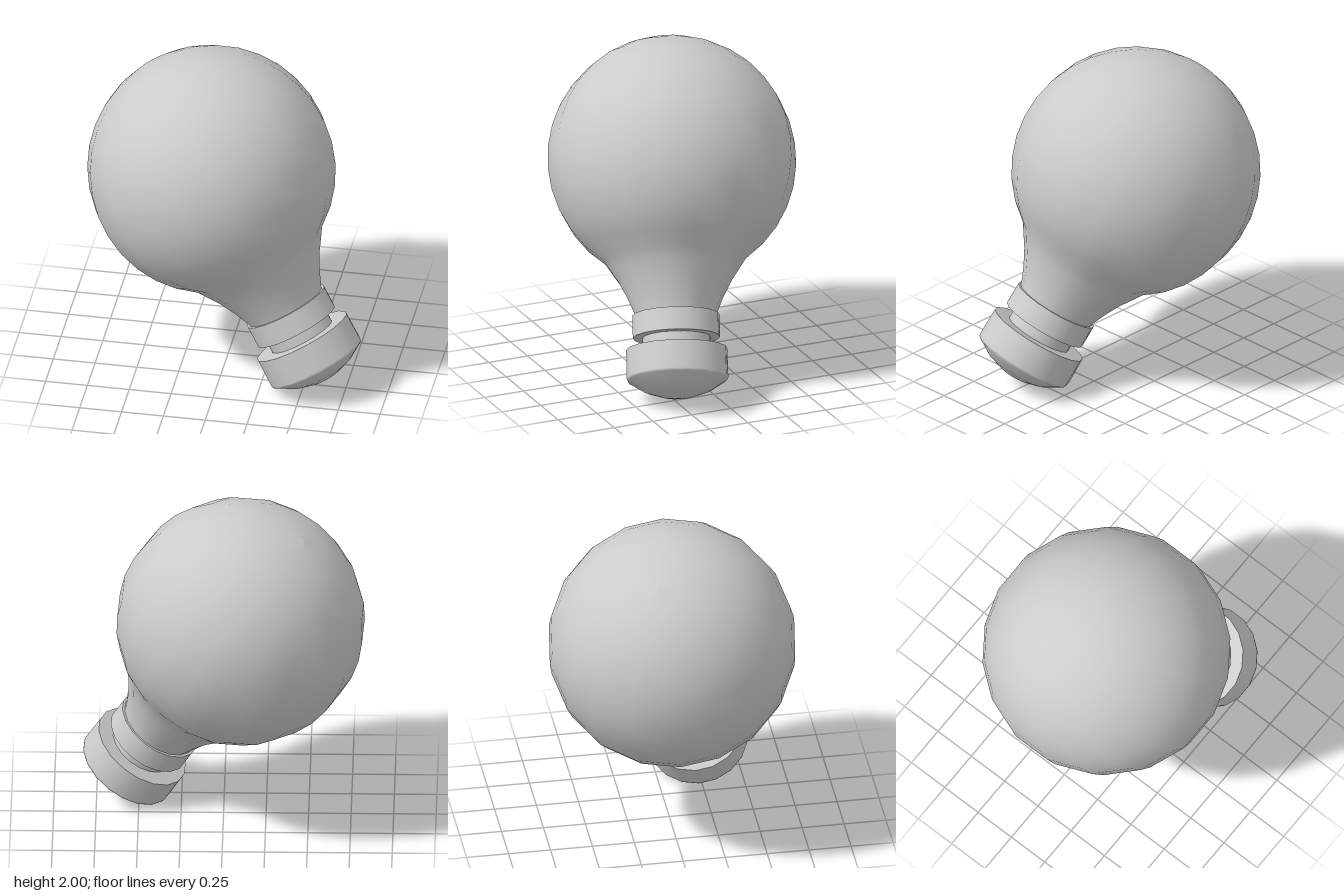
import * as THREE from 'three';

const SIDES = 18;
const material = new THREE.MeshStandardMaterial({ color: 0xcccccc });

// Profiles are [radius, distance down the axis from the bulb centre],
// listed from the socket end towards the bulb.
function lathe(name, profile) {
  const points = profile.map(([r, d]) => new THREE.Vector2(r, -d));
  const mesh = new THREE.Mesh(new THREE.LatheGeometry(points, SIDES), material);
  mesh.name = name;
  return mesh;
}

// Each band keeps smooth normals; edges between bands stay sharp.
function part(name, bands) {
  const group = new THREE.Group();
  group.name = name;
  bands.forEach((band, i) => group.add(lathe(`${name}Band${i + 1}`, band)));
  return group;
}

// Round glass running smoothly into the narrow neck
function bulbProfile(radius) {
  const profile = [[0.235, 0.96], [0.245, 0.92], [0.283, 0.83], [0.335, 0.73], [0.375, 0.67]];
  const steps = 14, start = THREE.MathUtils.degToRad(35);
  for (let i = 0; i <= steps; i++) {
    const a = start + (Math.PI - start) * i / steps;
    profile.push([Math.max(0, radius * Math.sin(a)), radius * Math.cos(a)]);
  }
  return profile;
}

export function createModel() {
  const model = new THREE.Group();
  model.name = 'lightBulb';

  const body = new THREE.Group();
  body.name = 'tiltedBulb';
  body.add(lathe('glassBulb', bulbProfile(0.733)));

  // Ring around the end of the neck
  body.add(part('collar', [
    [[0.19, 1.07], [0.257, 1.07]],
    [[0.257, 1.07], [0.257, 0.935]],
    [[0.257, 0.935], [0.2, 0.935]],
  ]));

  // Recess between the collar and the cap
  body.add(lathe('groove', [[0.2, 1.16], [0.2, 1.05]]));

  // Socket cap with a domed end
  body.add(part('socketCap', [
    [[0, 1.435], [0.1, 1.42], [0.2, 1.385], [0.295, 1.325], [0.3, 1.31], [0.298, 1.14]],
    [[0.298, 1.14], [0.19, 1.14]],
  ]));

  // Lean the axis to the left and the front
  const axis = new THREE.Vector3(0.51, -0.835, 0.2).normalize();
  body.quaternion.setFromUnitVectors(new THREE.Vector3(0, -1, 0), axis);
  body.position.set(-0.1, 1.27, 0);
  model.add(body);
  return model;
}
